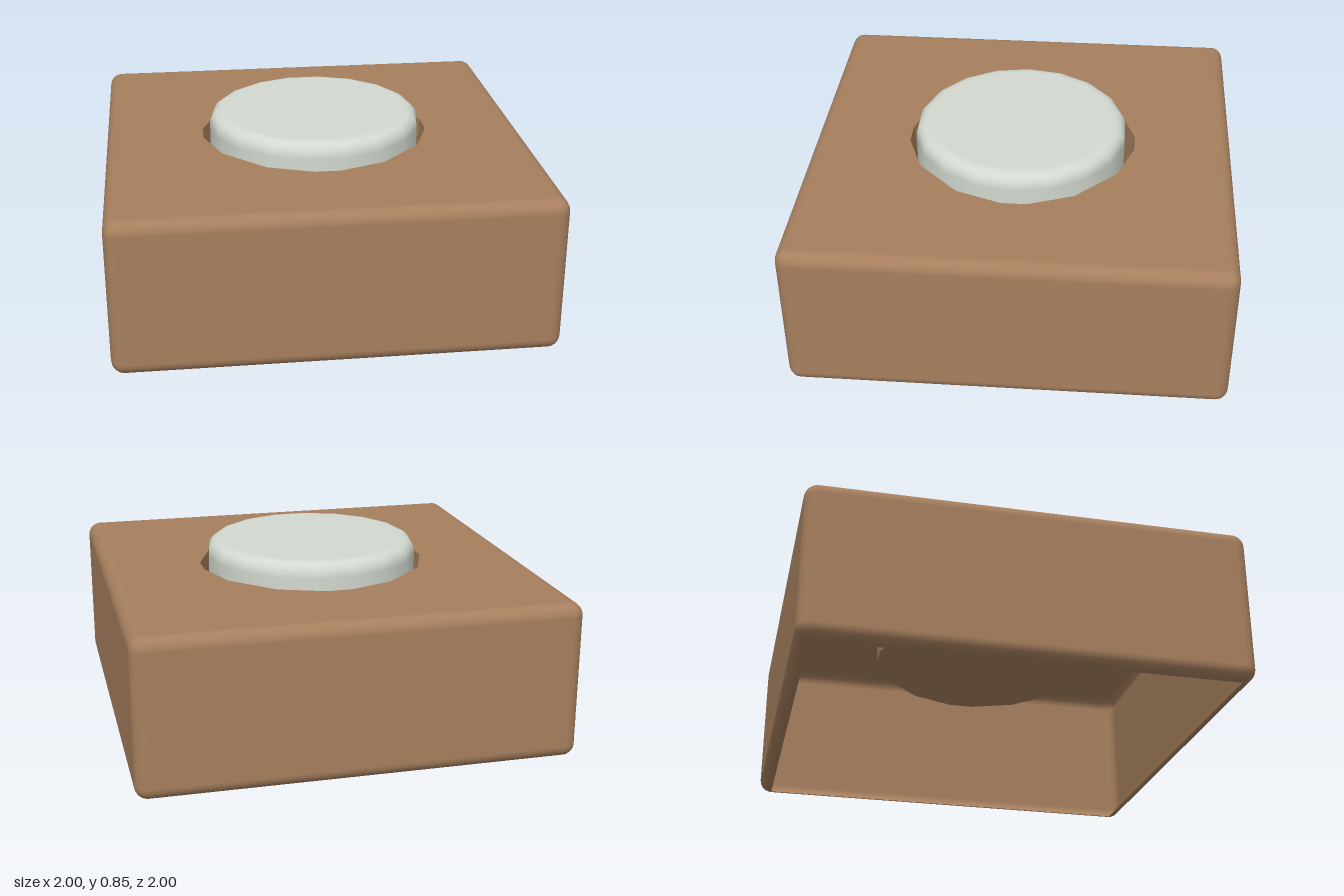
import * as THREE from 'three';

const H = 0.73, R = 0.06, FLOOR = 0.41;

const brown = new THREE.MeshStandardMaterial({ color: 0xa67f5e, side: THREE.DoubleSide });
brown.name = 'brown casing';
const grey = new THREE.MeshStandardMaterial({ color: 0xd3d9d0 });
grey.name = 'pale grey button';

// Sixteen-sided outline of the recess, as [x, z] going from +z towards +x
const recess = [];
for (let q = 0; q < 4; q++) {
  for (const [deg, r] of [[6.3, 0.541], [30.4, 0.533], [59.6, 0.533], [83.7, 0.541]]) {
    const a = (q * 90 + deg) * Math.PI / 180;
    recess.push([r * Math.sin(a), r * Math.cos(a)]);
  }
}

// Rounded shell wall: loops of a rounded square, curling in at top and bottom
function wallGeometry(steps = 5) {
  const pos = [], nor = [], idx = [], c = 1 - R;
  const rows = [];
  for (const [from, y] of [[-90, R], [0, H - R]])
    for (let i = 0; i <= steps; i++) rows.push([(from + 90 * i / steps) * Math.PI / 180, y]);
  const n = 4 * (steps + 1);
  for (const [e, y] of rows) {
    for (let k = 0; k < 4; k++) {
      const mid = (k + 0.5) * Math.PI / 2;
      for (let i = 0; i <= steps; i++) {
        const a = (k + i / steps) * Math.PI / 2;
        const nx = Math.cos(e) * Math.sin(a), ny = Math.sin(e), nz = Math.cos(e) * Math.cos(a);
        pos.push(c * Math.sign(Math.sin(mid)) + R * nx, y + R * ny, c * Math.sign(Math.cos(mid)) + R * nz);
        nor.push(nx, ny, nz);
      }
    }
  }
  for (let j = 0; j < rows.length - 1; j++)
    for (let i = 0; i < n; i++) {
      const a = j * n + i, b = j * n + (i + 1) % n;
      idx.push(a, b, b + n, a, b + n, a + n);
    }
  const g = new THREE.BufferGeometry();
  g.setAttribute('position', new THREE.Float32BufferAttribute(pos, 3));
  g.setAttribute('normal', new THREE.Float32BufferAttribute(nor, 3));
  g.setIndex(idx);
  return g;
}

const outline = (s = 1) => recess.map(([x, z]) => new THREE.Vector2(x * s, -z * s));

export function createModel() {
  const model = new THREE.Group();
  const add = (name, geometry, material) => {
    const mesh = new THREE.Mesh(geometry, material);
    mesh.name = name;
    model.add(mesh);
    return mesh;
  };

  // Casing, open underneath
  add('casingWalls', wallGeometry(), brown);
  const c = 1 - R;
  const top = new THREE.Shape([[-c, -c], [c, -c], [c, c], [-c, c]].map(p => new THREE.Vector2(...p)));
  top.holes.push(new THREE.Path(outline()));
  add('casingTop', new THREE.ShapeGeometry(top).rotateX(-Math.PI / 2), brown).position.y = H;

  // Recess that holds the button, narrowing slightly to its floor
  const taper = 0.97;
  const well = new THREE.CylinderGeometry(1, 1, H - FLOOR, 16, 1, true);
  const p = well.attributes.position;
  for (let i = 0; i < p.count; i++) {
    const [x, z] = recess[(i % 17) % 16], s = p.getY(i) > 0 ? 1 : taper;
    p.setX(i, x * s);
    p.setZ(i, z * s);
  }
  const wellFlat = well.toNonIndexed();
  wellFlat.computeVertexNormals();
  add('recessWall', wellFlat, brown).position.y = (H + FLOOR) / 2;
  const floor = new THREE.ShapeGeometry(new THREE.Shape(outline(taper))).rotateX(-Math.PI / 2);
  add('recessFloor', floor, brown).position.y = FLOOR;

  // Round button with a soft top edge
  const r = 0.503, t = 0.845, b = 0.06;
  const profile = [new THREE.Vector2(r, FLOOR + 0.005), new THREE.Vector2(r, t - b - 0.01)];
  for (let i = 0; i <= 5; i++) {
    const a = i / 5 * Math.PI / 2;
    profile.push(new THREE.Vector2(r - b + b * Math.cos(a), t - b + b * Math.sin(a)));
  }
  profile.push(new THREE.Vector2(r - b - 0.01, t), new THREE.Vector2(0, t));
  add('button', new THREE.LatheGeometry(profile, 18).rotateY(Math.PI / 2), grey).position.z = 0.005;

  return model;
}
